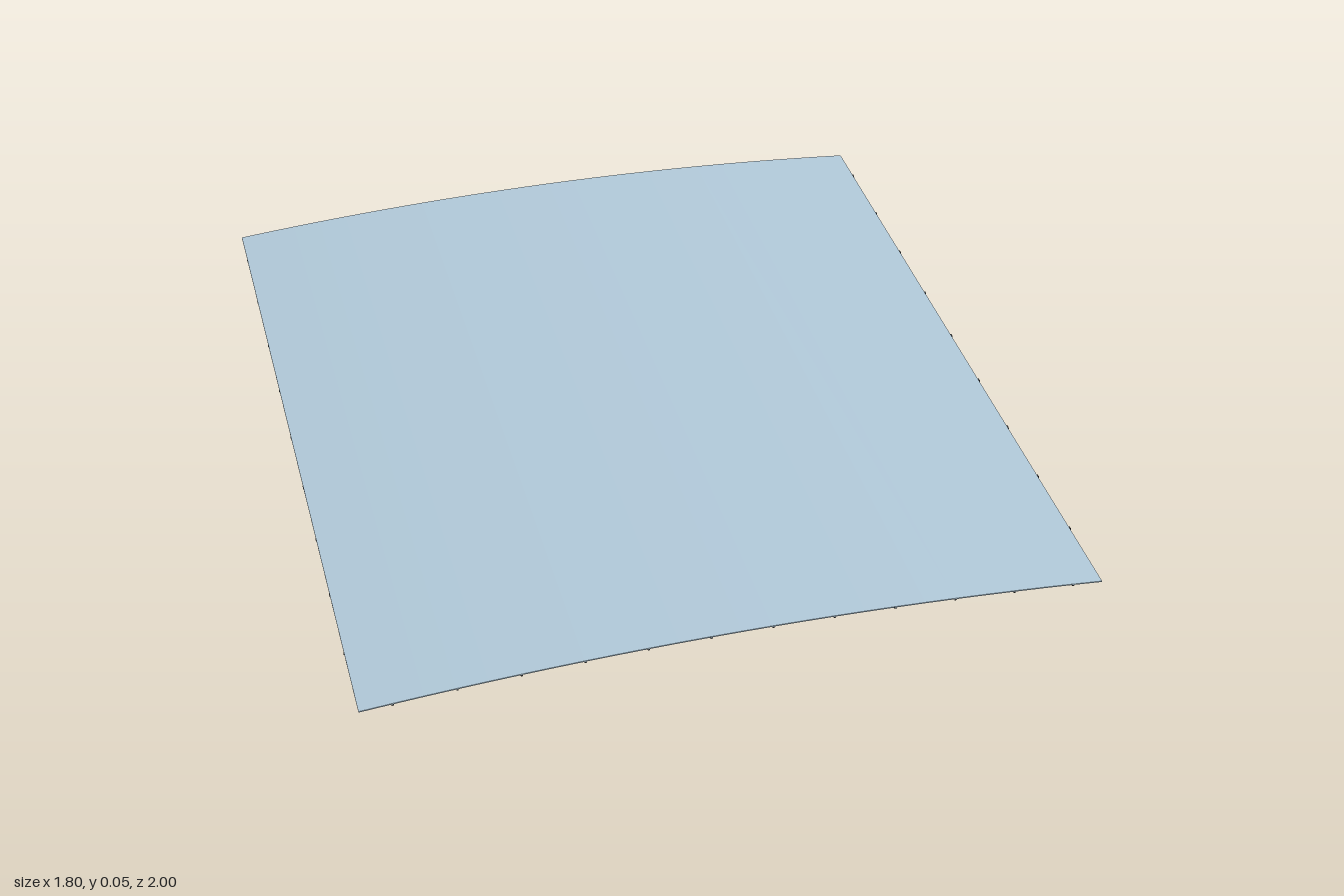
import * as THREE from 'three';

const HALF = 0.895, LENGTH = 2, PANEL = 0.149;
// Height of the roof's upper surface across the span
const rise = x => 0.055 - 0.041 * (x / HALF) ** 2;

// Closed arched band of given thickness, extruded along z and centred on z = 0
function archedBand(drop, thickness, depth, segments) {
  const upper = [], lower = [];
  for (let i = 0; i <= segments; i++) {
    const x = -HALF + (2 * HALF * i) / segments;
    upper.push(new THREE.Vector2(x, rise(x) - drop));
    lower.unshift(new THREE.Vector2(x, rise(x) - drop - thickness));
  }
  const shape = new THREE.Shape([...upper, ...lower]);
  return new THREE.ExtrudeGeometry(shape, { depth, bevelEnabled: false }).translate(0, 0, -depth / 2);
}

export function createModel() {
  const model = new THREE.Group();
  model.name = 'archedRoof';
  const sheetMat = new THREE.MeshStandardMaterial({ color: 0xb0c8d8 });
  const steelMat = new THREE.MeshStandardMaterial({ color: 0x333333 });
  const add = (parent, name, geometry, material, x = 0, y = 0, z = 0) => {
    const mesh = new THREE.Mesh(geometry, material);
    mesh.name = name;
    mesh.position.set(x, y, z);
    parent.add(mesh);
  };

  // Curved roof sheet
  add(model, 'roofSheet', archedBand(0, 0.003, LENGTH, 24), sheetMat, -0.003);

  // Purlins running the full length under the sheet
  const purlin = new THREE.BoxGeometry(0.005, 0.005, LENGTH - 0.004);
  for (let i = 0; i < 12; i++) {
    const x = (i - 5.5) * PANEL;
    add(model, 'purlin', purlin, steelMat, x, rise(x) - 0.0062, 0);
  }

  // Nine tied arches: top chord, straight tie and thin hangers
  const chord = archedBand(0.004, 0.006, 0.008, 24);
  const tie = new THREE.CylinderGeometry(0.004, 0.004, 2 * HALF + 0.006, 8).rotateZ(Math.PI / 2);
  for (let t = 0; t < 9; t++) {
    const truss = new THREE.Group();
    truss.name = 'truss';
    truss.position.z = 0.79 - t * 0.21;
    add(truss, 'topChord', chord, steelMat);
    add(truss, 'bottomTie', tie, steelMat, 0, 0.004, 0);
    for (let i = 0; i < 10; i++) {
      const x = (i - 4.5) * PANEL;
      const top = rise(x) - 0.006;
      add(truss, 'hanger', new THREE.CylinderGeometry(0.0015, 0.0015, top - 0.004, 6), steelMat, x, (top + 0.004) / 2, 0);
    }
    // End blocks where chord meets tie
    for (const s of [-1, 1]) add(truss, 'endBlock', new THREE.BoxGeometry(0.01, 0.01, 0.008), steelMat, s * (HALF - 0.003), 0.005, 0);
    model.add(truss);
  }
  return model;
}
